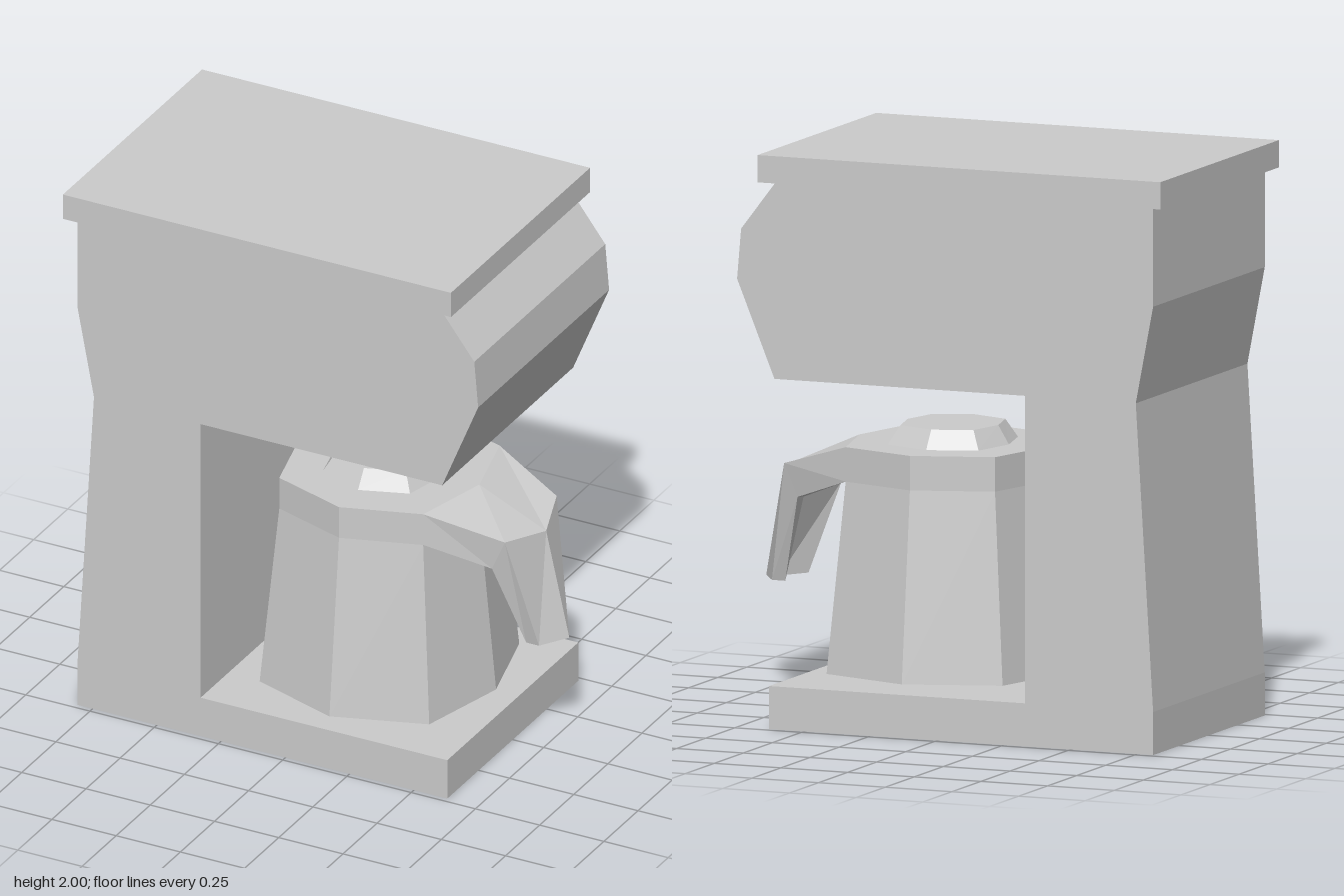
import * as THREE from 'three';

const grey = new THREE.MeshStandardMaterial({ color: 0xcccccc, flatShading: true, side: THREE.DoubleSide });

function part(name, geometry) {
  const mesh = new THREE.Mesh(geometry, grey);
  mesh.name = name;
  return mesh;
}

// Joins equal-sized rings of points into a closed, faceted solid with end caps.
function loft(rings) {
  const pos = [];
  const tri = (a, b, c) => pos.push(...a, ...b, ...c);
  const n = rings[0].length;
  for (let s = 0; s < rings.length - 1; s++) {
    const a = rings[s], b = rings[s + 1];
    for (let i = 0; i < n; i++) {
      const j = (i + 1) % n;
      tri(a[i], a[j], b[j]);
      tri(a[i], b[j], b[i]);
    }
  }
  const first = rings[0], last = rings[rings.length - 1];
  for (let k = 1; k < n - 1; k++) {
    const p = (1 + k) % n, q = (2 + k) % n;
    tri(first[1], first[q], first[p]);
    tri(last[1], last[p], last[q]);
  }
  const g = new THREE.BufferGeometry();
  g.setAttribute('position', new THREE.Float32BufferAttribute(pos, 3));
  g.computeVertexNormals();
  return g;
}

// Eight-sided ring: rx and rz on the axes, d on the diagonals.
function octagon(y, rx, rz, d) {
  return [[rx, 0], [d, -d], [0, -rz], [-d, -d], [-rx, 0], [-d, d], [0, rz], [d, d]]
    .map(([x, z]) => [x, y, z]);
}

// C-shaped housing, extruded across its width and open underneath.
function housingGeometry() {
  const profile = [
    [-0.81, 0], [0.63, 0], [0.63, 0.15], [-0.33, 0.15], [-0.33, 1.22], [0.61, 1.22],
    [0.75, 1.56], [0.735, 1.735], [0.605, 1.905], [-0.81, 1.905], [-0.81, 1.56],
    [-0.745, 1.22], [-0.81, 0.15],
  ];
  const shape = new THREE.Shape(profile.map(([x, y]) => new THREE.Vector2(x, y)));
  const solid = new THREE.ExtrudeGeometry(shape, { depth: 0.96, bevelEnabled: false });
  solid.translate(0, 0, -0.48);
  const src = solid.getAttribute('position');
  const kept = [];
  for (let i = 0; i < src.count; i += 3) {
    const onFloor = [0, 1, 2].every((k) => src.getY(i + k) < 0.001);
    if (onFloor) continue;
    for (let k = 0; k < 3; k++) kept.push(src.getX(i + k), src.getY(i + k), src.getZ(i + k));
  }
  const g = new THREE.BufferGeometry();
  g.setAttribute('position', new THREE.Float32BufferAttribute(kept, 3));
  g.computeVertexNormals();
  return g;
}

// V-shaped handle section: ridge and side points, top and underside.
function handleSection(ridge, side, halfWidth, dx, dy) {
  const [rx, ry] = ridge, [sx, sy] = side;
  return [
    [sx, sy, -halfWidth], [rx, ry, 0], [sx, sy, halfWidth],
    [sx + dx, sy + dy, halfWidth], [rx + dx, ry + dy, 0], [sx + dx, sy + dy, -halfWidth],
  ];
}

export function createModel() {
  const model = new THREE.Group();
  model.name = 'coffeeMaker';

  model.add(part('housing', housingGeometry()));

  const topLid = part('topLid', new THREE.BoxGeometry(1.51, 0.095, 1.02));
  topLid.position.set(-0.095, 1.9525, 0);
  model.add(topLid);

  // Carafe, centred on its own axis
  const carafe = new THREE.Group();
  carafe.name = 'carafe';
  carafe.position.x = 0.15;
  carafe.add(part('jug', loft([
    octagon(0.18, 0.415, 0.44, 0.33),
    octagon(0.845, 0.35, 0.37, 0.28),
    octagon(0.965, 0.35, 0.37, 0.28),
  ])));
  carafe.add(part('jugLid', loft([
    octagon(0.965, 0.21, 0.23, 0.17),
    octagon(1.03, 0.17, 0.187, 0.137),
  ])));
  carafe.add(part('handle', loft([
    handleSection([0.35, 0.965], [0.28, 0.965], 0.28, 0, -0.12),
    handleSection([0.61, 0.85], [0.55, 0.88], 0.19, -0.05, -0.115),
    handleSection([0.7, 0.455], [0.635, 0.455], 0.1, -0.05, 0),
  ])));
  model.add(carafe);

  return model;
}
